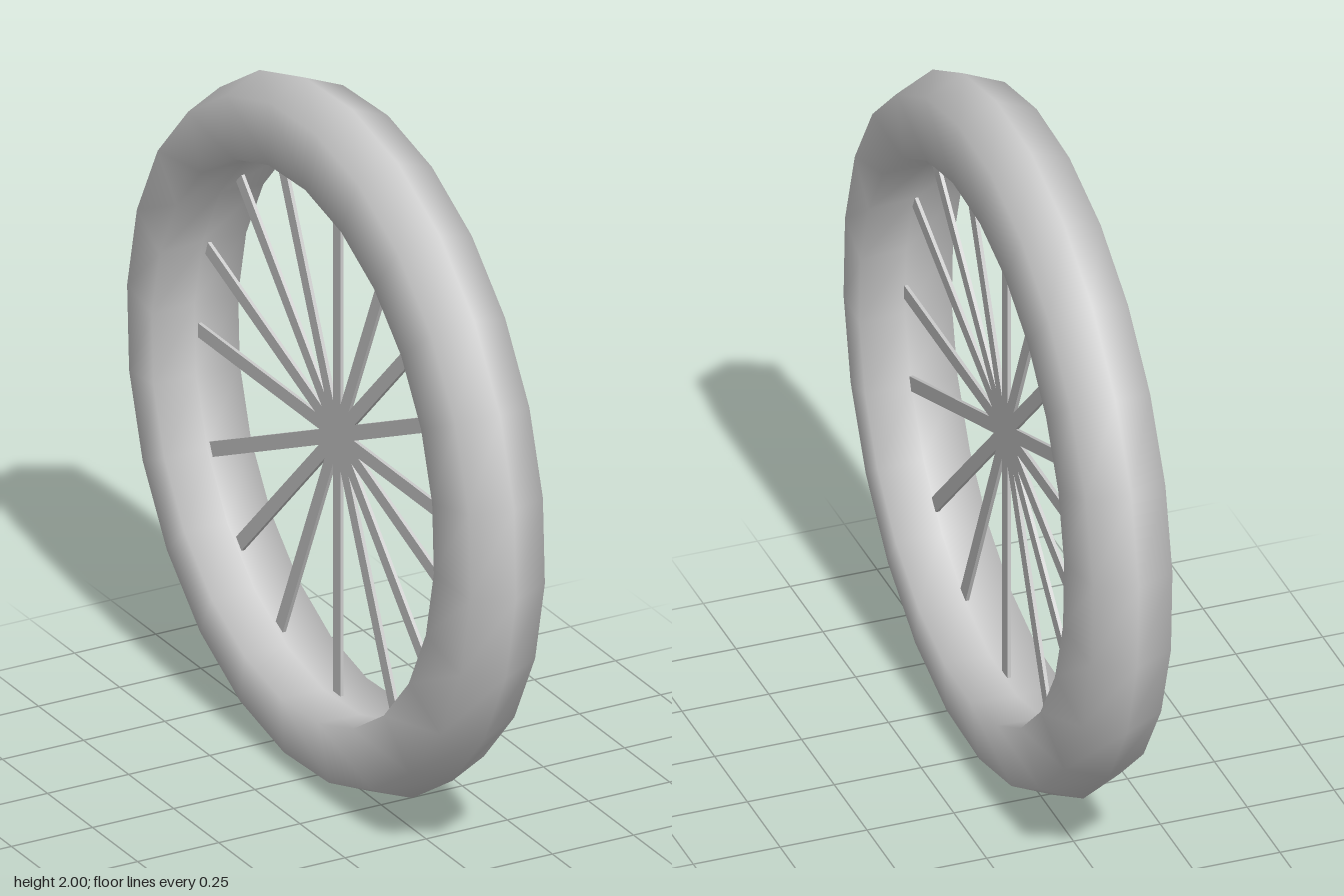
import * as THREE from 'three';

export function createModel() {
  const group = new THREE.Group();
  const material = new THREE.MeshStandardMaterial({ color: 0xcccccc, side: THREE.DoubleSide });

  // Tyre: closed six-point section (radius, width) turned around the axle in 24 steps
  const section = [
    [0.79, 0], [0.785, -0.133], [0.957, -0.114], [1.003, 0],
    [0.957, 0.114], [0.785, 0.133], [0.79, 0],
  ].map(([r, w]) => new THREE.Vector2(r, w));
  const tyreGeometry = new THREE.LatheGeometry(section, 24);
  tyreGeometry.rotateZ(-Math.PI / 2);
  tyreGeometry.rotateX(THREE.MathUtils.degToRad(5));
  const tyre = new THREE.Mesh(tyreGeometry, material);
  tyre.name = 'tyre';
  tyre.position.y = 1;
  group.add(tyre);

  // Spokes: eight thin bars crossing at the hub, slightly off centre and unevenly spaced
  const spokes = new THREE.Group();
  spokes.name = 'spokes';
  spokes.position.set(0, 1.003, 0.012);
  const bar = new THREE.BoxGeometry(0.01, 0.042, 1.535);
  [0, 20, 45, 65.5, 90, 114.5, 135, 155].forEach((angle, i) => {
    const spoke = new THREE.Mesh(bar, material);
    spoke.name = `spoke${i + 1}`;
    spoke.rotation.x = THREE.MathUtils.degToRad(angle);
    spokes.add(spoke);
  });
  group.add(spokes);

  return group;
}
